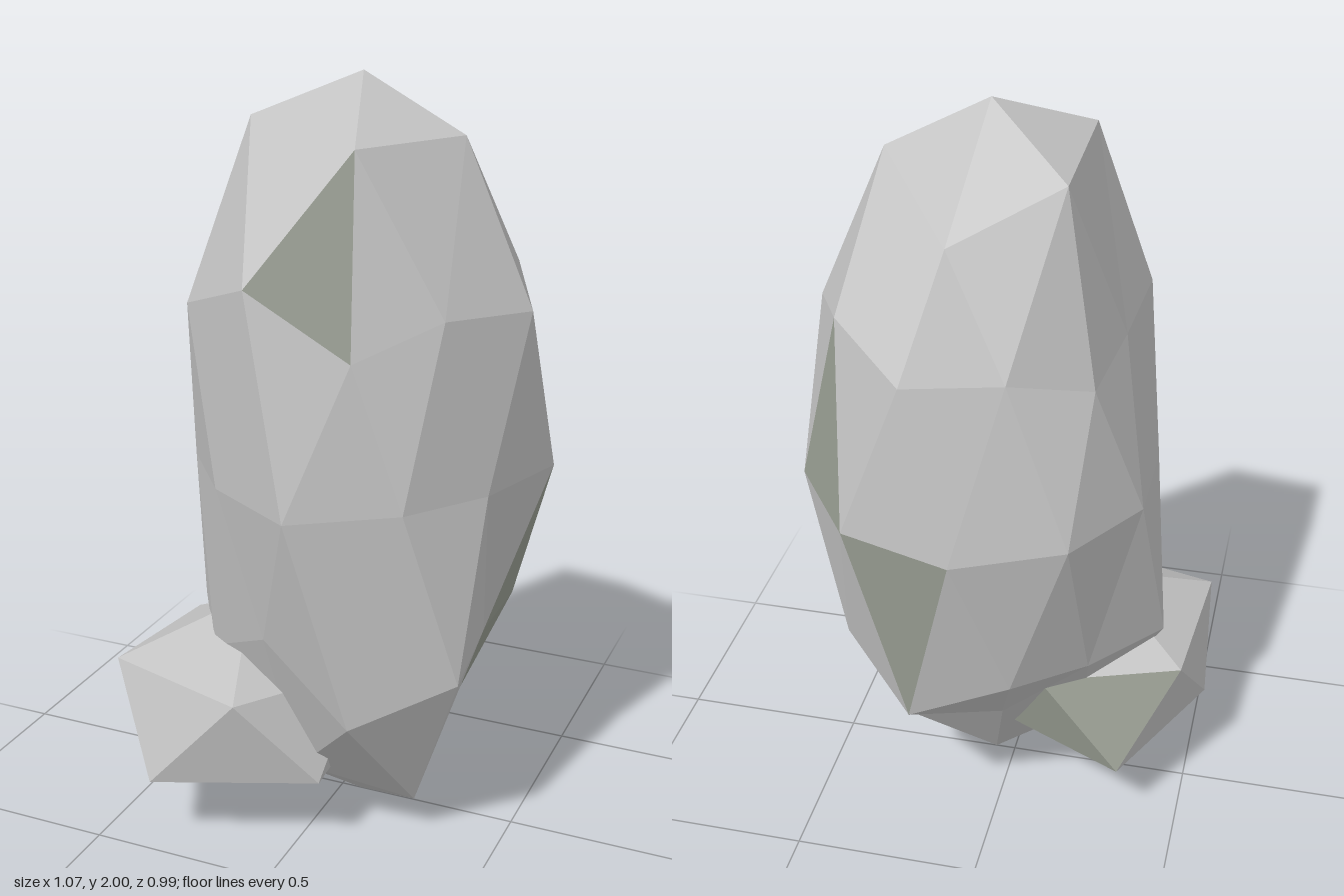
import * as THREE from 'three';

const stone = new THREE.MeshStandardMaterial({ color: 0xc1c1c1 });
stone.name = 'stone';
const moss = new THREE.MeshStandardMaterial({ color: 0x979c91 });
moss.name = 'mossyStone';

// Latitudes (sine) of the icosphere rings
const TIP = 0.851, MID = 0.526, RING = 0.447;

// Vertex of an ellipsoid at a latitude and angle, pushed in or out by r
function place(center, size, lat, degrees, r) {
  const a = THREE.MathUtils.degToRad(degrees);
  const c = Math.sqrt(1 - lat * lat);
  return [
    center[0] + size[0] * r * c * Math.cos(a),
    center[1] + size[1] * r * lat,
    center[2] + size[2] * r * c * Math.sin(a),
  ];
}

// Flat-faced mesh from triangles; each is [key, corner, corner, corner]
function facetMesh(name, faces, mossy) {
  const sorted = [
    ...faces.filter(f => !mossy.includes(f[0])),
    ...faces.filter(f => mossy.includes(f[0])),
  ];
  const split = (faces.length - mossy.length) * 3;
  const geo = new THREE.BufferGeometry();
  const pos = sorted.flatMap(f => f.slice(1).flat());
  geo.setAttribute('position', new THREE.Float32BufferAttribute(pos, 3));
  geo.addGroup(0, split, 0);
  geo.addGroup(split, mossy.length * 3, 1);
  geo.computeVertexNormals();
  const mesh = new THREE.Mesh(geo, [stone, moss]);
  mesh.name = name;
  return mesh;
}

// Tall boulder: 80-sided icosphere with dented corners
function tallRock() {
  const P = (lat, deg, r) => place([0.055, 1, 0], [0.5, 1, 0.497], lat, deg, r);
  const tip = [1.01, 1, 1.06, 1.01, 0.82].map((r, k) => P(TIP, 72 * k, r));
  const upper = [1, 0.87, 0.82, 1.02, 1, 0.8, 0.83, 0.79, 0.96, 0.97]
    .map((r, j) => P(j % 2 ? MID : RING, 36 * j, r));
  const waist = [0.82, 0.83, 1, 0.86, 0.88, 0.88, 0.92, 1, 1.01, 1]
    .map((r, j) => P(0, 18 + 36 * j, r));
  const lower = [0.82, 1.03, 1.06, 0.86, 0.95, 1.06, 0.88, 0.95, 1.04, 0.96]
    .map((r, j) => P(j % 2 ? -RING : -MID, 36 * j, r));
  const foot = [1.04, 0.95, 0.95, 0.8, 0.93].map((r, k) => P(-TIP, 36 + 72 * k, r));
  const top = P(1, 0, 1), bottom = P(-1, 0, 0.995);

  const faces = [];
  // Caps
  for (let k = 0; k < 5; k++) {
    const n = (k + 1) % 5, p = (k + 4) % 5;
    const e = 2 * k, o = e + 1, e2 = (e + 2) % 10, o0 = (e + 9) % 10;
    faces.push(
      ['cap' + k, top, tip[n], tip[k]],
      ['shoulderLeft' + k, tip[k], upper[o], upper[e]],
      ['shoulderRight' + k, tip[k], upper[e], upper[o0]],
      ['shoulderMid' + k, tip[k], tip[n], upper[o]],
      ['baseLeft' + k, lower[e], lower[o], foot[k]],
      ['baseRight' + k, lower[o], lower[e2], foot[k]],
      ['baseMid' + k, lower[e], foot[k], foot[p]],
      ['under' + k, foot[k], foot[n], bottom],
    );
  }
  // Middle bands
  for (let j = 0; j < 10; j++) {
    const n = (j + 1) % 10, p = (j + 9) % 10;
    faces.push(
      ['chestUp' + j, upper[j], waist[j], waist[p]],
      ['chestDown' + j, upper[j], upper[n], waist[j]],
      ['bellyDown' + j, waist[p], waist[j], lower[j]],
      ['bellyUp' + j, waist[j], lower[n], lower[j]],
    );
  }
  return facetMesh('tallRock', faces,
    ['shoulderLeft1', 'chestUp9', 'bellyUp9', 'baseRight4', 'bellyDown8']);
}

// Small boulder at the foot: 20-sided icosahedron with dented corners
function smallRock() {
  const P = (lat, deg, r) => place([-0.22, 0.335, 0.12], [0.4, 0.27, 0.4], lat, deg, r);
  const upper = [0.9, 0.95, 1.02, 0.9, 0.96].map((r, k) => P(RING, 72 * k, r));
  const lower = [1.02, 1.09, 0.88, 1.08, 0.95].map((r, k) => P(-RING, 36 + 72 * k, r));
  const top = P(1, 0, 1), bottom = P(-1, 0, 0.99);
  const faces = [];
  for (let k = 0; k < 5; k++) {
    const n = (k + 1) % 5, p = (k + 4) % 5;
    faces.push(
      ['cap' + k, top, upper[n], upper[k]],
      ['sideDown' + k, upper[k], upper[n], lower[k]],
      ['sideUp' + k, upper[k], lower[k], lower[p]],
      ['under' + k, lower[k], lower[n], bottom],
    );
  }
  return facetMesh('smallRock', faces, ['sideDown3', 'sideUp4']);
}

export function createModel() {
  const group = new THREE.Group();
  group.name = 'standingRocks';
  group.add(tallRock(), smallRock());
  return group;
}
